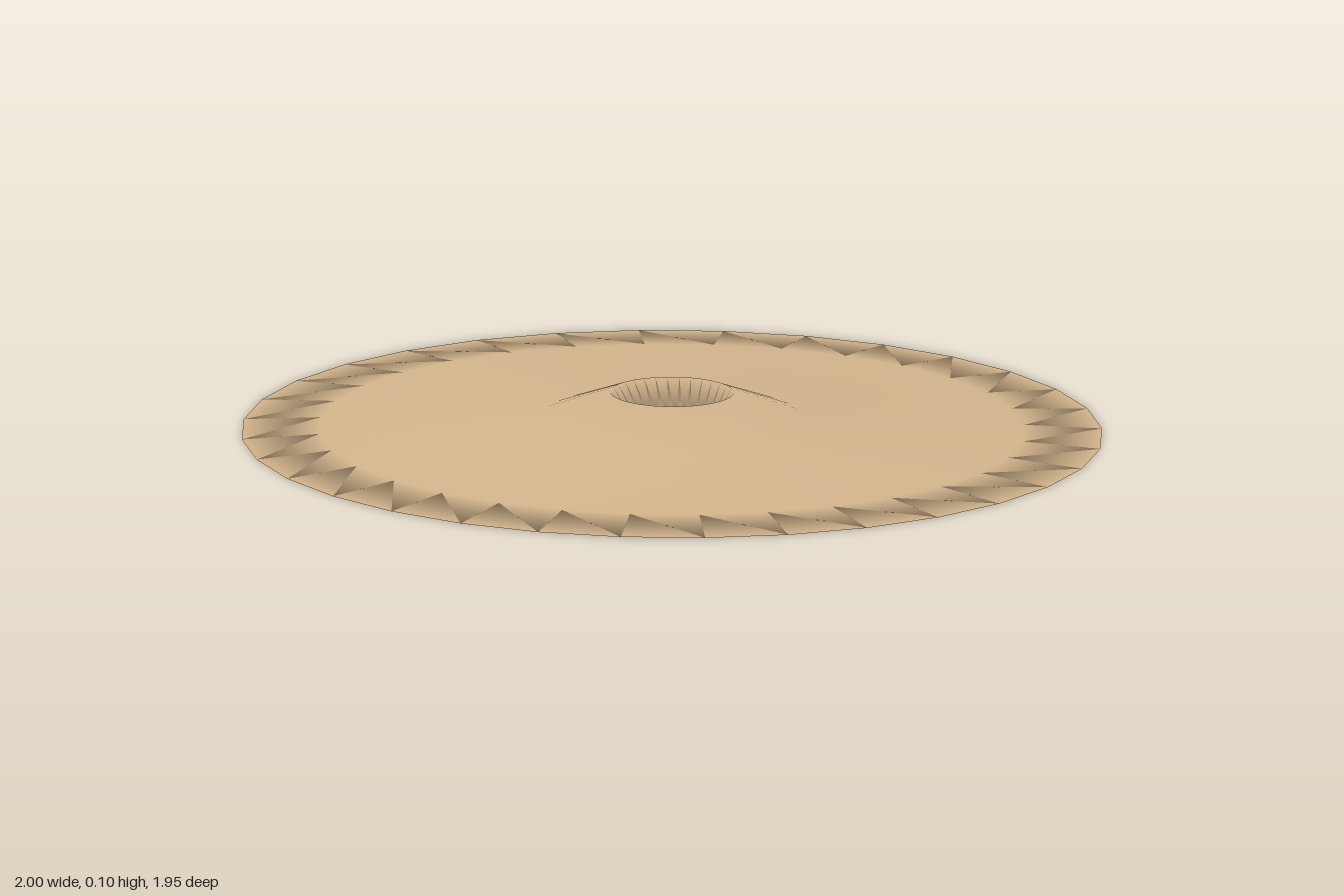
import * as THREE from 'three';
import { mergeVertices } from 'three/addons/utils/BufferGeometryUtils.js';

export function createModel() {
  const group = new THREE.Group();
  group.name = 'disc';

  // Closed cross-section: flat underside, shallow bow, raised bell, flared centre hole
  const profile = [
    [0.088, 0], [1, 0], [0.82, 0.011], [0.305, 0.04], [0.143, 0.1], [0.088, 0],
  ].map(([r, y]) => new THREE.Vector2(r, y));

  // Slightly oval plan
  let geometry = new THREE.LatheGeometry(profile, 32);
  geometry.scale(1, 1, 0.976);

  // Weld the seams so the whole surface shades smoothly
  geometry.deleteAttribute('uv');
  geometry.deleteAttribute('normal');
  geometry = mergeVertices(geometry, 1e-4);
  geometry.computeVertexNormals();

  const plate = new THREE.Mesh(geometry, new THREE.MeshStandardMaterial({ color: 0xd2b48c }));
  plate.name = 'plateWithBell';
  group.add(plate);
  return group;
}
